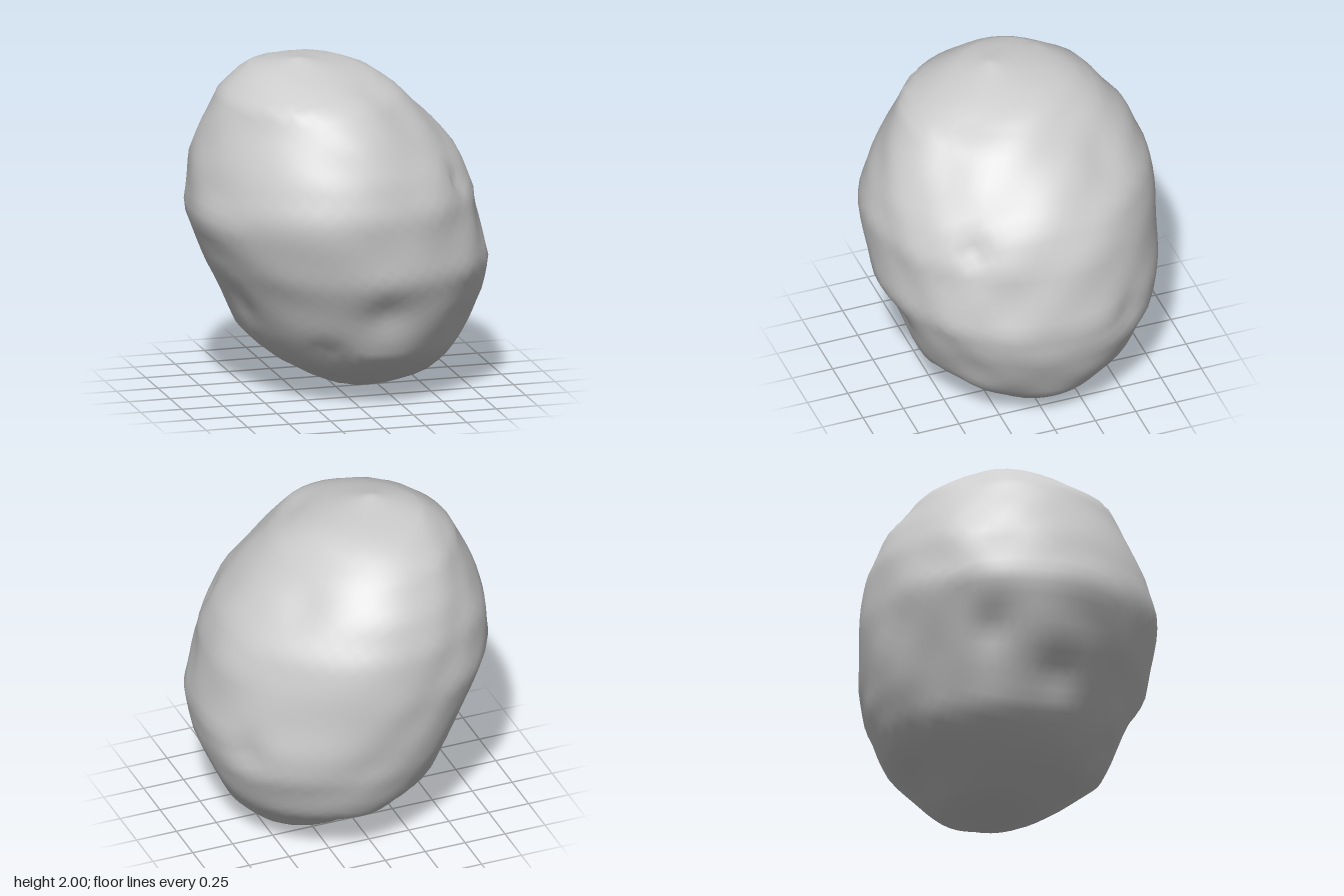
import * as THREE from 'three';
import { mergeVertices } from 'three/addons/utils/BufferGeometryUtils.js';

// Outline by height: y, left edge x, right edge x, back edge z, front edge z
const OUTLINE = [
  [0, 0.2, 0.22, -0.12, -0.08],
  [0.05, -0.05, 0.38, -0.32, 0.18],
  [0.1, -0.17, 0.56, -0.39, 0.3],
  [0.2, -0.35, 0.67, -0.51, 0.46],
  [0.3, -0.47, 0.73, -0.67, 0.6],
  [0.4, -0.56, 0.78, -0.73, 0.65],
  [0.6, -0.65, 0.86, -0.81, 0.74],
  [0.8, -0.76, 0.89, -0.84, 0.83],
  [1.1, -0.89, 0.82, -0.86, 0.85],
  [1.2, -0.88, 0.8, -0.85, 0.86],
  [1.4, -0.85, 0.71, -0.83, 0.8],
  [1.6, -0.77, 0.54, -0.74, 0.7],
  [1.8, -0.68, 0.34, -0.59, 0.57],
  [1.9, -0.56, 0.2, -0.45, 0.35],
  [1.95, -0.48, 0.06, -0.33, 0.2],
  [2, -0.24, -0.22, 0.02, 0.04],
];

// Shallow hollows: centre x, y, z, radius, depth
const DENTS = [
  [0.1, 0.6, 0.74, 0.2, 0.035],
  [0.6, 1.31, 0.45, 0.08, 0.035],
  [-0.7, 0.82, -0.28, 0.18, 0.04],
  [-0.2, 0.33, 0.55, 0.16, 0.03],
  [-0.65, 0.62, 0.15, 0.16, 0.025],
  [0.72, 0.75, -0.45, 0.16, 0.03],
  [0.1, 1.78, 0.3, 0.18, 0.025],
  [0.35, 1.6, -0.4, 0.18, 0.025],
];

function outlineAt(y) {
  let i = 1;
  while (i < OUTLINE.length - 1 && OUTLINE[i][0] < y) i++;
  const a = OUTLINE[i - 1], b = OUTLINE[i];
  const t = THREE.MathUtils.clamp((y - a[0]) / (b[0] - a[0]), 0, 1);
  return a.map((v, k) => THREE.MathUtils.lerp(v, b[k], t));
}

// Gentle lumps over the surface
function lumps(p) {
  return 0.009 * Math.sin(5.3 * p.x + 2.1 * p.y + 1.3) * Math.sin(4.7 * p.z - 3.1 * p.y + 0.4)
    + 0.007 * Math.sin(9.1 * p.x - 6.3 * p.z + 2.2) * Math.cos(8.3 * p.y + 3.7 * p.z)
    + 0.004 * Math.sin(15 * p.y + 7 * p.x) * Math.sin(13 * p.z - 8 * p.x + 1);
}

export function createModel() {
  const stone = new THREE.MeshStandardMaterial({ color: 0xcccccc });
  stone.name = 'stone grey';

  // Evenly divided ball with shared corners for smooth shading
  let geometry = new THREE.IcosahedronGeometry(1, 14);
  geometry.deleteAttribute('normal');
  geometry.deleteAttribute('uv');
  geometry = mergeVertices(geometry, 1e-4);

  const pos = geometry.attributes.position;
  const p = new THREE.Vector3(), out = new THREE.Vector3(), c = new THREE.Vector3();
  for (let i = 0; i < pos.count; i++) {
    out.fromBufferAttribute(pos, i).normalize();
    const y = 1 + out.y;
    const [, left, right, back, front] = outlineAt(y);
    const ring = Math.hypot(out.x, out.z) || 1;
    p.set(
      (left + right) / 2 + (out.x / ring) * (right - left) / 2,
      y,
      (back + front) / 2 + (out.z / ring) * (front - back) / 2
    );
    // Lumps and hollows push along the outward direction
    let push = lumps(p) * Math.min(1, ring * 1.5);
    for (const [x, dy, z, r, depth] of DENTS) {
      push -= depth * Math.exp(-2 * p.distanceToSquared(c.set(x, dy, z)) / (r * r));
    }
    p.addScaledVector(out, push);
    pos.setXYZ(i, p.x, Math.max(0, p.y), p.z);
  }
  geometry.computeVertexNormals();

  const boulder = new THREE.Mesh(geometry, stone);
  boulder.name = 'boulder';
  const group = new THREE.Group();
  group.name = 'rock';
  group.add(boulder);
  return group;
}
